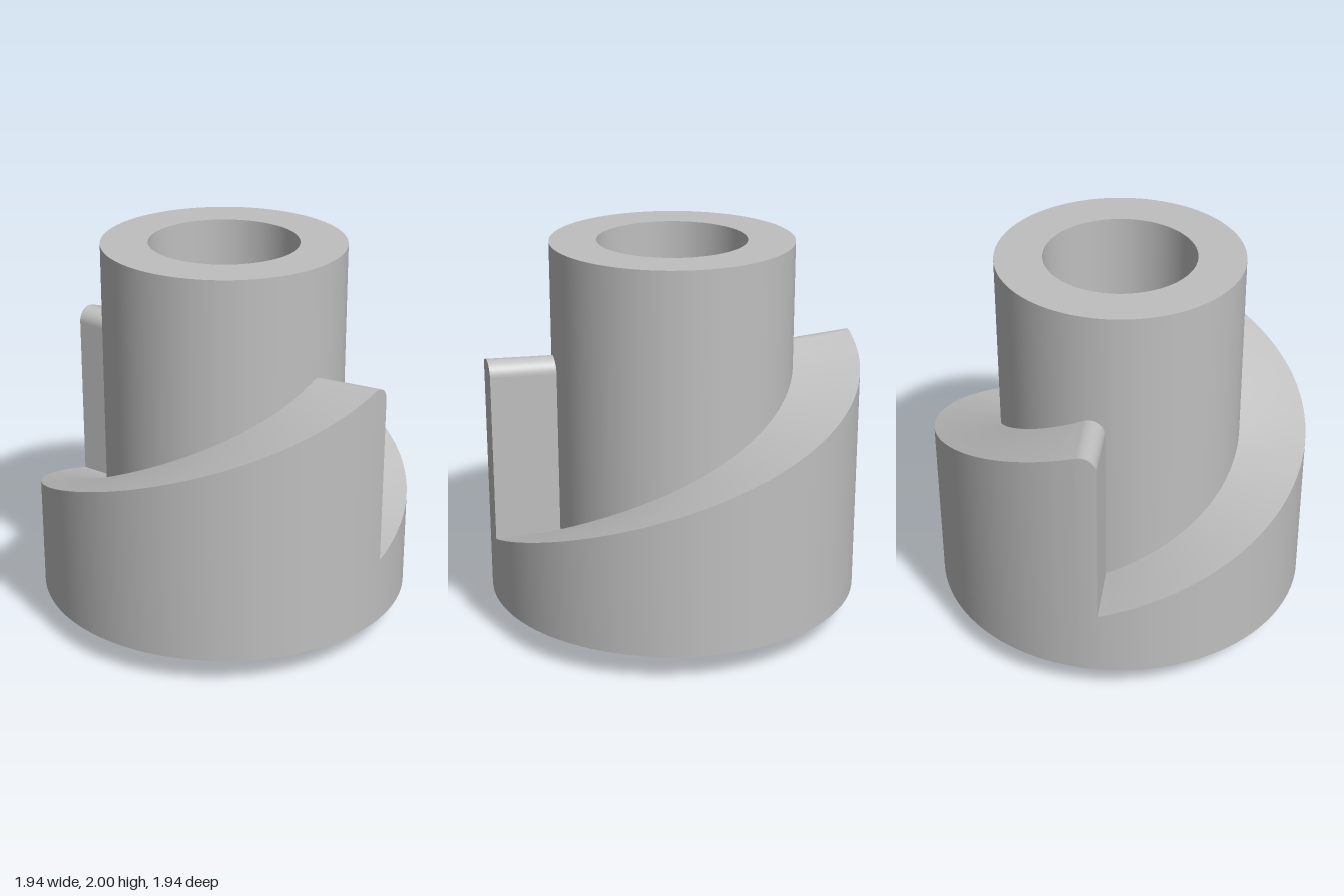
import * as THREE from 'three';

const HUB = 0.625, BORE = 0.385, OUTER = 0.97, INNER = 0.82; // radii
const BASE = 0.145, LOW = 0.493, RISE = 0.98, ROOF = 0.24, ROUND = 0.075;
const RAD = Math.PI / 180;

const polar = (r, t, y) => new THREE.Vector3(r * Math.sin(t), y, r * Math.cos(t));
const helix = t => LOW + RISE * t / Math.PI;
const atHeight = (line, y) => line.map(p => new THREE.Vector3(p.x, y, p.z));

// Quads between two matching polylines
function sheet(a, b) {
  const index = [], n = a.length;
  for (let i = 0; i < n - 1; i++) index.push(i, i + 1, n + i, i + 1, n + i + 1, n + i);
  const g = new THREE.BufferGeometry().setFromPoints([...a, ...b]);
  g.setIndex(index);
  g.computeVertexNormals();
  return g;
}

// Top edge of one ramp at radius r, with a rounded crest beside the drop
function rampEdge(r) {
  const pts = [];
  for (let i = 0; i <= 56; i++) {
    const t = i * 3 * RAD;
    pts.push(polar(r, t, helix(t)));
  }
  const m = RISE / Math.PI / r, k = Math.hypot(1, m);
  const tangent = ROUND * (1 + m / k);
  const centre = LOW + RISE - m * ROUND - ROUND * k;
  for (let i = 0; i <= 16; i++) {
    const d = i === 16 ? 0 : 0.115 * (1 - Math.sin(i / 16 * Math.PI / 2));
    const t = Math.PI - Math.asin(d / r);
    const y = d < tangent ? centre + Math.sqrt(Math.max(0, ROUND ** 2 - (ROUND - d) ** 2)) : helix(t);
    pts.push(polar(r, t, y));
  }
  return pts;
}

// Underside of one ramp: a slope, then a low block below the drop
function roofSlope(r) {
  return Array.from({ length: 41 }, (_, i) => {
    const t = i * 4 * RAD;
    return polar(r, t, ROOF + RISE * t / Math.PI);
  });
}
function roofBlock(r) {
  return Array.from({ length: 6 }, (_, i) => polar(r, (160 + i * 4) * RAD, ROOF));
}

export function createModel() {
  const grey = new THREE.MeshStandardMaterial({ color: 0xbfbfbf });
  grey.name = 'grey';
  const model = new THREE.Group();
  model.name = 'helicalCam';
  const add = (parent, name, geometry) => {
    const mesh = new THREE.Mesh(geometry, grey);
    mesh.name = name;
    parent.add(mesh);
    return mesh;
  };

  // Hub: one lathe per face keeps its edges sharp
  const hub = new THREE.Group();
  hub.name = 'hub';
  model.add(hub);
  const profile = [[BORE, 0.15], [BORE, 0], [HUB, 0], [HUB, 2], [BORE, 2], [BORE, 1]];
  const names = ['lowerBore', 'hubBottom', 'hubWall', 'hubTop', 'upperBore'];
  names.forEach((name, i) => {
    const pts = [profile[i], profile[i + 1]].map(p => new THREE.Vector2(...p));
    add(hub, name, new THREE.LatheGeometry(pts, 96));
  });

  // Square drive socket inside the bore
  const disc = new THREE.Shape().absarc(0, 0, BORE + 0.005, 0, Math.PI * 2);
  const s = 0.25;
  disc.holes.push(new THREE.Path([[-s, -s], [-s, s], [s, s], [s, -s]].map(p => new THREE.Vector2(...p))));
  const socket = new THREE.ExtrudeGeometry(disc, { depth: 0.85, bevelEnabled: false, curveSegments: 48 });
  socket.rotateX(-Math.PI / 2);
  add(hub, 'squareSocket', socket).position.y = 0.15;

  // Two identical ramps, half a turn apart
  for (let half = 0; half < 2; half++) {
    const ramp = new THREE.Group();
    ramp.name = half ? 'backRamp' : 'frontRamp';
    ramp.rotation.y = half * Math.PI;
    model.add(ramp);

    const out = rampEdge(OUTER), inn = rampEdge(HUB - 0.003);
    add(ramp, 'rampTop', sheet(out, inn));
    add(ramp, 'skirtWall', sheet(atHeight(out, BASE), out));

    // Vertical drop at the end of the ramp
    const crest = [out.at(-1), inn.at(-1)];
    add(ramp, 'dropFace', sheet(atHeight(crest, ROOF), crest));

    // Hollow underside
    for (const roof of [roofSlope, roofBlock]) {
      const ring = roof(INNER);
      add(ramp, 'cavityRoof', sheet(roof(HUB), ring));
      add(ramp, 'cavityWall', sheet(ring, atHeight(ring, BASE)));
      const rim = ring.map(p => p.clone().multiplyScalar(OUTER / INNER));
      add(ramp, 'skirtRim', sheet(atHeight(ring, BASE), atHeight(rim, BASE)));
    }
    const step = [roofSlope(HUB).at(-1), roofSlope(INNER).at(-1)];
    add(ramp, 'cavityStep', sheet(atHeight(step, ROOF), step));

    // Ribs joining the hub and the skirt
    for (const deg of [45, 135]) {
      const t = deg * RAD, h = ROOF + RISE * t / Math.PI + 0.05 - BASE;
      const rib = add(ramp, 'rib', new THREE.BoxGeometry(0.16, h, 0.24));
      rib.position.copy(polar(0.725, t, BASE + h / 2));
      rib.rotation.y = t;
    }
  }
  return model;
}
